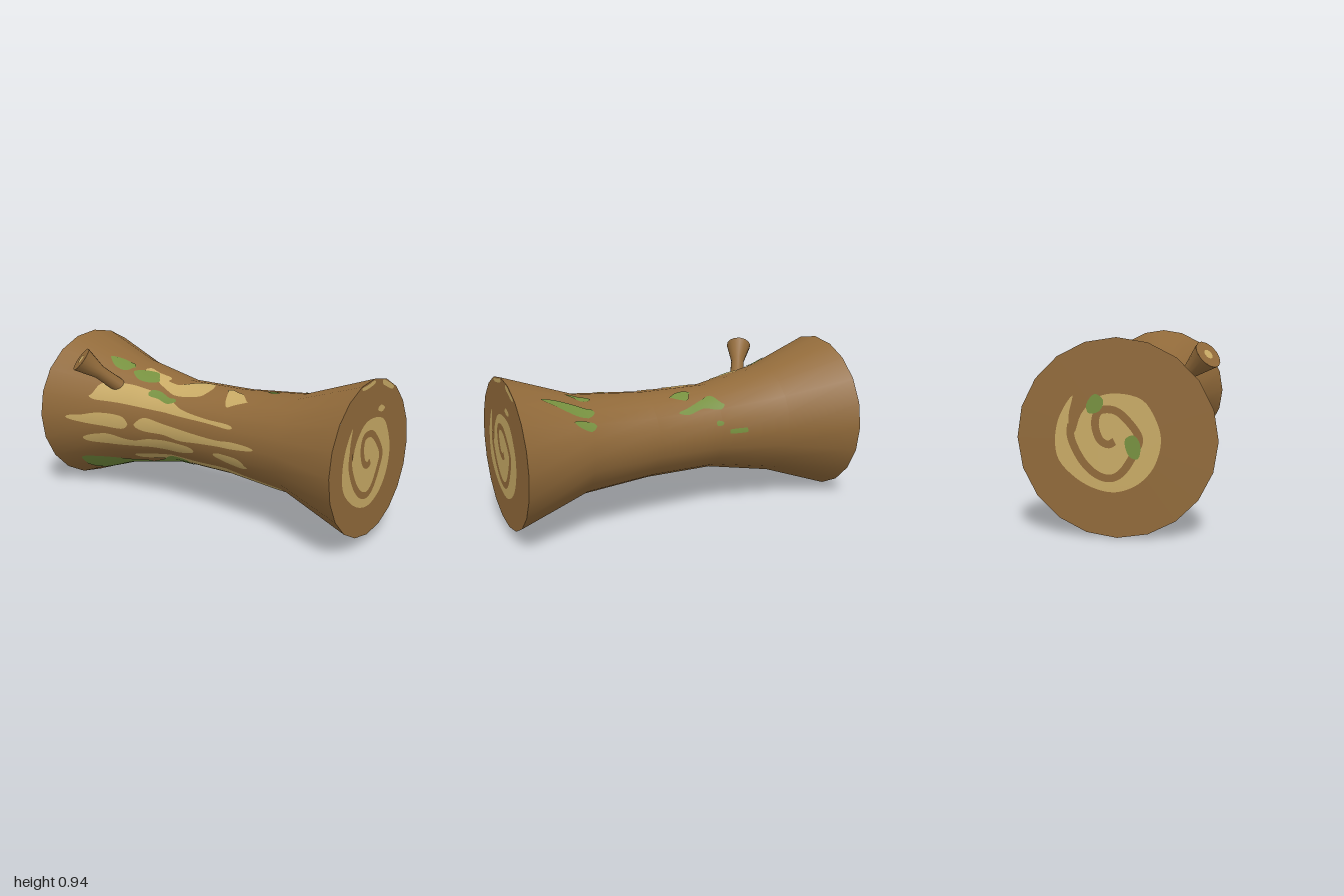
import * as THREE from 'three';

const CY = 0.47, SIDES = 20, STEP = (Math.PI * 2) / SIDES;
const PROFILE = [[-1, 0.47], [-0.6, 0.326], [-0.2, 0.247], [0.2, 0.247], [0.6, 0.279], [1, 0.415]];
const material = (name, color) => {
  const m = new THREE.MeshStandardMaterial({ color });
  m.name = name;
  return m;
};

// Trunk radius at x, and the same radius on the flat facet at angle a
function radius(x) {
  const t = THREE.MathUtils.clamp((x + 1) / 0.4, 0, 4.9999), i = Math.floor(t);
  return THREE.MathUtils.lerp(PROFILE[i][1], PROFILE[i + 1][1], t - i);
}
function facetRadius(x, a) {
  const local = THREE.MathUtils.euclideanModulo(a, STEP) - STEP / 2;
  return radius(x) * Math.cos(STEP / 2) / Math.cos(local);
}

// Ways to give a patch edge: height y on the front, depth z on the top, or degrees round the trunk
const clampUnit = (v) => THREE.MathUtils.clamp(v, -1, 1);
const toAngle = {
  front: (x, y) => Math.asin(clampUnit((y - CY) / radius(x))),
  top: (x, z) => Math.acos(clampUnit(z / radius(x))),
  around: (x, deg) => THREE.MathUtils.degToRad(deg),
};

// Thin patch hugging the trunk, from rows of [x, low edge, high edge]
function patchGeometry(kind, rows, lift) {
  const end = (r, dx) => new THREE.Vector3(r[0] + dx, (r[1] + r[2]) / 2, (r[1] + r[2]) / 2);
  const last = rows[rows.length - 1];
  const curve = new THREE.CatmullRomCurve3([
    end(rows[0], -0.015), ...rows.map((r) => new THREE.Vector3(...r)), end(last, 0.015)]);
  const nx = rows.length * 7, na = 12, pos = [], nor = [], idx = [];
  for (let i = 0; i <= nx; i++) {
    const p = curve.getPoint(i / nx);
    const e = [toAngle[kind](p.x, p.y), toAngle[kind](p.x, p.z)].sort((a, b) => a - b);
    const slope = (radius(p.x + 0.15) - radius(p.x - 0.15)) / 0.3;
    for (let j = 0; j <= na; j++) {
      const a = THREE.MathUtils.lerp(e[0], e[1], j / na), r = facetRadius(p.x, a) + lift;
      pos.push(p.x, CY + r * Math.sin(a), r * Math.cos(a));
      nor.push(...new THREE.Vector3(-slope, Math.sin(a), Math.cos(a)).normalize().toArray());
      if (i < nx && j < na) {
        const k = i * (na + 1) + j, n = k + na + 1;
        idx.push(k, n, n + 1, k, n + 1, k + 1);
      }
    }
  }
  const g = new THREE.BufferGeometry();
  g.setAttribute('position', new THREE.Float32BufferAttribute(pos, 3));
  g.setAttribute('normal', new THREE.Float32BufferAttribute(nor, 3));
  g.setIndex(idx);
  return g;
}

const PALE_PATCHES = [
  ['front', [[-0.7, 0.6, 0.62], [-0.66, 0.59, 0.68], [-0.5, 0.585, 0.69], [-0.35, 0.575, 0.67], [-0.2, 0.565, 0.64], [-0.1, 0.56, 0.6], [0.1, 0.555, 0.575], [0.28, 0.55, 0.568]]],
  ['front', [[-0.83, 0.465, 0.485], [-0.75, 0.45, 0.495], [-0.65, 0.44, 0.515], [-0.48, 0.435, 0.51], [-0.45, 0.45, 0.49]]],
  ['front', [[-0.38, 0.455, 0.49], [-0.33, 0.44, 0.52], [-0.2, 0.435, 0.5], [-0.08, 0.42, 0.49], [0.05, 0.43, 0.48], [0.2, 0.44, 0.475], [0.3, 0.445, 0.485], [0.44, 0.465, 0.48]]],
  ['front', [[-0.74, 0.33, 0.36], [-0.6, 0.32, 0.39], [-0.42, 0.33, 0.37], [-0.3, 0.34, 0.395], [-0.1, 0.34, 0.4], [0, 0.36, 0.39]]],
  ['front', [[0.17, 0.37, 0.395], [0.25, 0.35, 0.4], [0.35, 0.34, 0.39], [0.38, 0.345, 0.36]]],
  ['front', [[-0.45, 0.245, 0.265], [-0.2, 0.265, 0.3], [0, 0.25, 0.295], [0.2, 0.26, 0.3], [0.35, 0.25, 0.28], [0.58, 0.25, 0.26]]],
  ['top', [[-0.33, 0.1, 0.13], [-0.2, 0.09, 0.16], [-0.1, 0.02, 0.16], [0, 0.01, 0.14], [0.02, 0.04, 0.11]]],
  ['top', [[0.14, 0.04, 0.07], [0.2, 0.06, 0.17], [0.25, 0.08, 0.16], [0.31, 0.13, 0.145]]],
  ['top', [[-0.46, 0.05, 0.1], [-0.38, 0.06, 0.12], [-0.29, 0.06, 0.1]]],
];
const MOSS_PATCHES = [
  ['top', [[-0.51, 0.12, 0.15], [-0.45, 0.09, 0.17], [-0.38, 0.07, 0.16], [-0.34, 0.11, 0.14]]],
  ['top', [[-0.71, 0.12, 0.14], [-0.65, 0.09, 0.165], [-0.57, 0.08, 0.15], [-0.55, 0.09, 0.12]]],
  ['front', [[-0.33, 0.64, 0.67], [-0.27, 0.63, 0.665], [-0.2, 0.61, 0.64], [-0.16, 0.62, 0.64]]],
  ['around', [[-0.83, -66, -42], [-0.7, -82, -46], [-0.55, -80, -56], [-0.42, -74, -61]]],
  ['around', [[-0.4, -84, -68], [-0.3, -90, -58], [-0.2, -84, -46], [-0.09, -70, -48]]],
  ['top', [[-0.22, -0.2, -0.18], [-0.17, -0.2, -0.13], [-0.1, -0.19, -0.15], [0, -0.205, -0.18], [0.05, -0.2, -0.19]]],
  ['top', [[-0.05, -0.1, -0.08], [-0.02, -0.14, -0.07], [0.03, -0.13, -0.08], [0.07, -0.11, -0.1]]],
  ['top', [[0.57, -0.19, -0.16], [0.65, -0.21, -0.15], [0.75, -0.2, -0.15], [0.83, -0.18, -0.165]]],
  ['top', [[0.58, -0.24, -0.22], [0.62, -0.25, -0.22], [0.68, -0.25, -0.235]]],
  ['top', [[0.56, -0.1, -0.07], [0.62, -0.1, -0.05], [0.67, -0.07, -0.055]]],
  ['top', [[0.39, 0.025, 0.035], [0.42, 0.02, 0.045], [0.45, 0.025, 0.04]]],
  ['around', [[-0.19, 160, 166], [-0.17, 159, 166]]],
  ['around', [[-0.3, 172, 178], [-0.28, 172, 178]]],
];

// Growth-ring swirl and blotches on the cut ends, in [across, up] from the centre
const SWIRL_OUTLINE = [[-0.205, 0.2], [-0.265, 0.11], [-0.29, 0], [-0.275, -0.1], [-0.19, -0.19], [-0.09, -0.24], [0, -0.25], [0.1, -0.21], [0.175, -0.125], [0.207, 0], [0.18, 0.1], [0.12, 0.185], [0, 0.213], [-0.09, 0.193], [-0.165, 0.115], [-0.2, 0.025], [-0.215, 0.03], [-0.225, 0.1]];
const SWIRL_LINE = [[-0.213, 0.07], [-0.213, 0], [-0.165, -0.1], [-0.1, -0.165], [-0.03, -0.185], [0.03, -0.15], [0.085, -0.06], [0.105, 0.01], [0.05, 0.09], [-0.01, 0.135], [-0.08, 0.13], [-0.1, 0.07], [-0.08, 0], [-0.04, -0.025], [-0.01, -0.01]];
const LEFT_BLOTCHES = [
  [[-0.13, 0.385], [-0.06, 0.396], [0, 0.407], [0.01, 0.395], [-0.05, 0.378], [-0.12, 0.375]],
  [[0.09, 0.395], [0.15, 0.375], [0.215, 0.34], [0.2, 0.33], [0.13, 0.355], [0.09, 0.375]],
  [[0.05, 0.25], [0.08, 0.268], [0.125, 0.245], [0.1, 0.23], [0.06, 0.24]],
];
const RIGHT_MOSS = [
  [[-0.14, 0.16], [-0.1, 0.21], [-0.06, 0.18], [-0.08, 0.13], [-0.13, 0.12]],
  [[0.04, 0], [0.08, 0.02], [0.11, -0.02], [0.1, -0.09], [0.06, -0.08]],
];
const vec2 = (pts) => pts.map((p) => new THREE.Vector2(...p));

function blobGeometry(pts) {
  const curve = new THREE.CatmullRomCurve3(pts.map((p) => new THREE.Vector3(p[0], p[1], 0)), true);
  return new THREE.ShapeGeometry(new THREE.Shape(vec2(curve.getPoints(pts.length * 4).slice(0, -1).map((p) => [p.x, p.y]))));
}
function strokeGeometry(pts, width) {
  const curve = new THREE.SplineCurve(vec2(pts)), left = [], right = [];
  for (let i = 0; i <= 80; i++) {
    const p = curve.getPoint(i / 80), t = curve.getTangent(i / 80);
    const n = new THREE.Vector2(-t.y, t.x).multiplyScalar(width / 2);
    left.push(p.clone().add(n));
    right.unshift(p.clone().sub(n));
  }
  return new THREE.ShapeGeometry(new THREE.Shape([...left, ...right]));
}

export function createModel() {
  const bark = material('bark brown', 0x916a3a);
  const pale = material('pale wood', 0xc8aa65);
  const moss = material('moss green', 0x76903f);
  const model = new THREE.Group();
  model.name = 'log';
  const add = (parent, name, geometry, mat, z = 0) => {
    const mesh = new THREE.Mesh(geometry, mat);
    mesh.name = name;
    mesh.position.z = z;
    parent.add(mesh);
    return mesh;
  };

  // Trunk, flared at both ends
  const trunk = new THREE.LatheGeometry(vec2(PROFILE.map(([x, r]) => [r, x])), SIDES);
  add(model, 'trunk', trunk.rotateZ(-Math.PI / 2), bark).position.y = CY;

  // Bare wood and moss on the bark
  PALE_PATCHES.forEach(([kind, rows]) => add(model, 'bareWoodPatch', patchGeometry(kind, rows, 0.003), pale));
  MOSS_PATCHES.forEach(([kind, rows]) => add(model, 'mossPatch', patchGeometry(kind, rows, 0.005), moss));

  // Cut ends with their swirls
  for (const side of [1, -1]) {
    const end = new THREE.Group();
    end.name = side > 0 ? 'leftEnd' : 'rightEnd';
    end.position.set(side, CY, 0);
    end.rotation.y = side * Math.PI / 2;
    add(end, 'cutFace', new THREE.CircleGeometry(radius(side), SIDES), bark);
    add(end, 'ringSwirl', blobGeometry(SWIRL_OUTLINE), pale, 0.0015);
    add(end, 'ringLine', strokeGeometry(SWIRL_LINE, 0.036), bark, 0.003);
    if (side > 0) LEFT_BLOTCHES.forEach((b) => add(end, 'paleBlotch', blobGeometry(b), pale, 0.0015));
    else RIGHT_MOSS.forEach((b) => add(end, 'mossBlotch', blobGeometry(b), moss, 0.0045));
    model.add(end);
  }

  // Broken branch stub, widening to its cut tip
  const base = new THREE.Vector3(-0.56, 0.66, 0.21), tip = new THREE.Vector3(-0.692, 0.843, 0.402);
  const length = base.distanceTo(tip);
  const stub = new THREE.Group();
  stub.name = 'branchStub';
  stub.position.copy(base);
  stub.quaternion.setFromUnitVectors(new THREE.Vector3(0, 1, 0), tip.clone().sub(base).normalize());
  add(stub, 'branch', new THREE.LatheGeometry(vec2([[0.042, 0], [0.04, length * 0.55], [0.076, length]]), 14), bark);
  for (const [name, r, mat, lift] of [['branchTip', 0.076, bark, 0], ['branchCore', 0.026, pale, 0.002]]) {
    add(stub, name, new THREE.CircleGeometry(r, 14).rotateX(-Math.PI / 2), mat).position.y = length + lift;
  }
  model.add(stub);
  return model;
}
